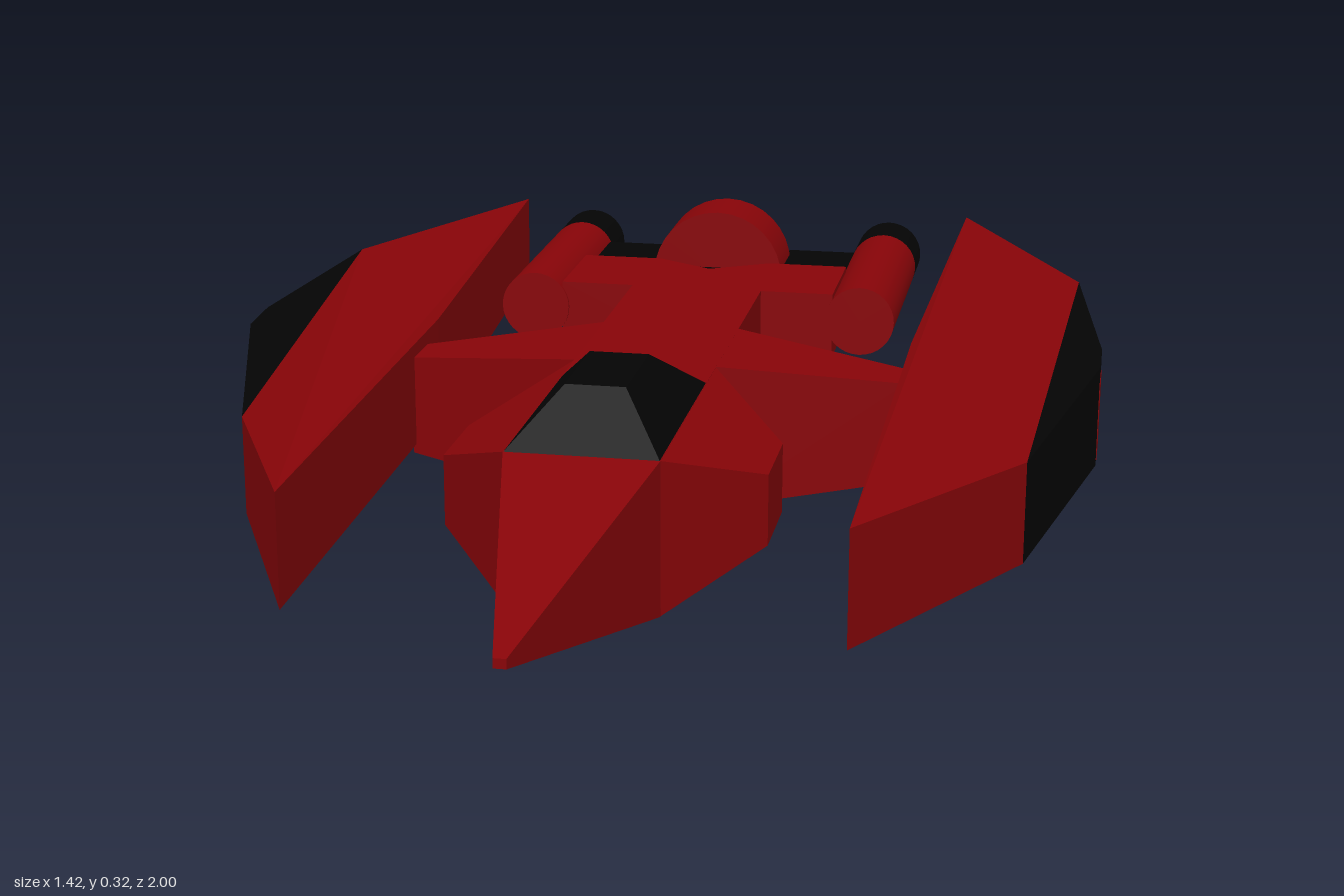
import * as THREE from 'three';

const red = new THREE.MeshStandardMaterial({ color: 0x880408, flatShading: true });
const black = new THREE.MeshStandardMaterial({ color: 0x040404, flatShading: true });
const redSmooth = new THREE.MeshStandardMaterial({ color: 0x880408 });
const blackSmooth = new THREE.MeshStandardMaterial({ color: 0x040404 });

// Closed solid between two rings of corners; caps are fans from the first corner.
function loft(a, b) {
  const tris = [];
  const n = a.length;
  for (let i = 0; i < n; i++) {
    const j = (i + 1) % n;
    tris.push([a[i], a[j], b[j]], [a[i], b[j], b[i]]);
    if (i > 0 && i < n - 1) tris.push([a[0], a[j], a[i]], [b[0], b[i], b[j]]);
  }
  // Turn all faces outward whichever way the rings run
  let volume = 0;
  for (const [p, q, r] of tris) {
    volume += new THREE.Vector3(...p).dot(new THREE.Vector3(...q).cross(new THREE.Vector3(...r)));
  }
  if (volume < 0) tris.forEach((t) => t.reverse());
  const geo = new THREE.BufferGeometry();
  geo.setAttribute('position', new THREE.Float32BufferAttribute(tris.flat(2), 3));
  geo.computeVertexNormals();
  return geo;
}

// Plate from outline corners [x, z, bottom y, top y]
const plate = (pts, s) => loft(
  pts.map(([x, z, y]) => [s * x, y, z]),
  pts.map(([x, z, , y]) => [s * x, y, z])
);

// Rectangles facing along z, x and y
const rectZ = (w, y0, y1, z) => [[-w, y0, z], [w, y0, z], [w, y1, z], [-w, y1, z]];
const rectX = (x, y0, y1, z0, z1) => [[x, y0, z0], [x, y0, z1], [x, y1, z1], [x, y1, z0]];
const rectY = (w, y, z0, z1) => [[-w, y, z0], [w, y, z0], [w, y, z1], [-w, y, z1]];

export function createModel() {
  const model = new THREE.Group();
  const add = (name, geo, mat) => {
    const mesh = new THREE.Mesh(geo, mat);
    mesh.name = name;
    model.add(mesh);
    return mesh;
  };
  // Cylinder along z from the rear z0 (radius r0) to the front z1 (radius r1)
  const tube = (name, x, y, z0, z1, r0, r1, mat) => {
    const geo = new THREE.CylinderGeometry(r1, r0, z1 - z0, 32).rotateX(Math.PI / 2);
    add(name, geo, mat).position.set(x, y, (z0 + z1) / 2);
  };

  // Fuselage, pointed nose and canopy
  add('fuselage', loft(rectZ(0.114, 0, 0.235, -0.52), rectZ(0.114, 0, 0.235, 0.51)), red);
  add('nose', loft(rectZ(0.114, 0, 0.235, 0.51), rectZ(0.009, 0.113, 0.127, 1)), red);
  add('canopy', loft(rectY(0.113, 0.235, 0.12, 0.51), rectY(0.045, 0.31, 0.235, 0.41)), black);

  // Central engine
  tube('centralEngine', 0, 0.2, -0.8, -0.68, 0.118, 0.118, redSmooth);
  tube('centralNozzle', 0, 0.21, -0.91, -0.8, 0.07, 0.1, blackSmooth);

  for (const s of [1, -1]) {
    const side = s > 0 ? 'left' : 'right';

    // Cheek beside the canopy and strut out to the wing
    add(side + 'Cheek', loft(rectX(s * 0.113, 0, 0.235, 0.03, 0.51), rectX(s * 0.245, 0.06, 0.17, 0.2, 0.35)), red);
    add(side + 'Strut', loft(rectX(s * 0.113, 0, 0.235, -0.2, 0.03), rectX(s * 0.405, 0.036, 0.2, -0.13, -0.05)), red);

    // Half of the rear crossbar, notched at the middle
    const bar = [[0, -0.45], [0.24, -0.45], [0.24, -0.65], [0.1, -0.65], [0, -0.59]];
    add(side + 'Crossbar', plate(bar.map(([x, z]) => [x, z, 0.12, 0.235]), s), red);

    // Half of the recessed dark deck, with a bevelled rear corner
    const deck = [[0, -0.57], [0.24, -0.57], [0.24, -0.84], [0.115, -0.84], [0.095, -0.815], [0, -0.815]];
    add(side + 'EngineDeck', plate(deck.map(([x, z]) => [x, z, 0.14, 0.215]), s), black);

    // Side engine with dark nozzle
    tube(side + 'Engine', s * 0.288, 0.19, -0.845, -0.445, 0.06, 0.06, redSmooth);
    tube(side + 'Nozzle', s * 0.288, 0.19, -0.95, -0.845, 0.06, 0.06, blackSmooth);

    // Blade wing: front tip, outer front, outer rear, rear tip, inner middle
    add(side + 'Wing', plate([
      [0.4, 0.67, 0.035, 0.21], [0.612, 0.2, 0.002, 0.163], [0.657, -0.615, 0.065, 0.235],
      [0.43, -1, 0.1, 0.255], [0.4, -0.2, 0.055, 0.225],
    ], s), red);

    // Dark armour along the outer edge, with a red marker panel
    add(side + 'Armour', plate([
      [0.612, 0.2, 0.002, 0.163], [0.708, -0.13, 0.056, 0.22],
      [0.708, -0.22, 0.06, 0.225], [0.657, -0.615, 0.065, 0.235],
    ], s), black);
    add(side + 'Marker', new THREE.BoxGeometry(0.006, 0.125, 0.09), red).position.set(s * 0.706, 0.128, -0.175);
  }
  return model;
}
